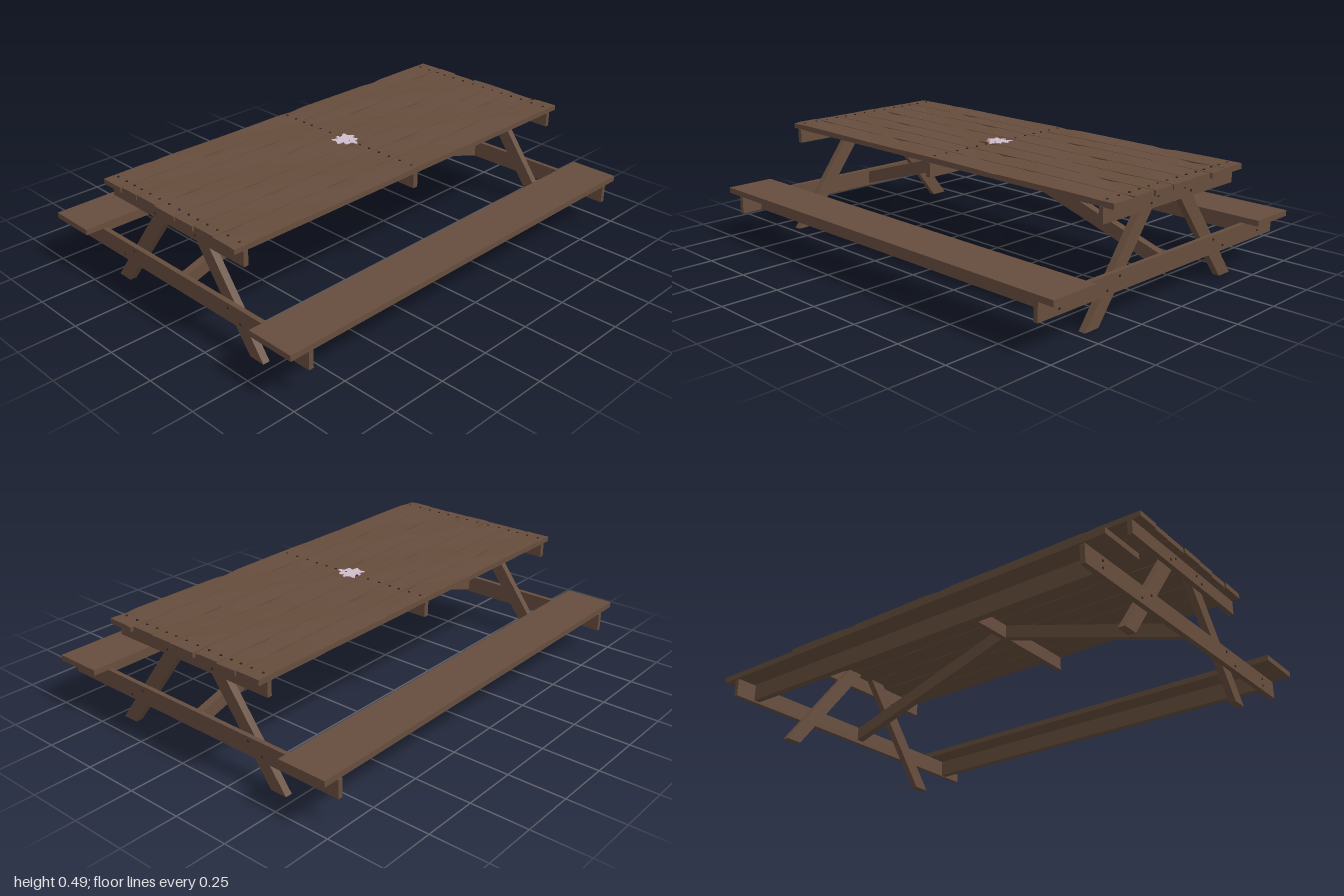
import * as THREE from 'three';

export function createModel() {
  const model = new THREE.Group();
  const mat = (name, color) => {
    const m = new THREE.MeshStandardMaterial({ color });
    m.name = name;
    return m;
  };
  const wood = mat('brown wood', 0x664d3d);
  const iron = mat('dark iron', 0x2c241f);
  const lilac = mat('pale lilac', 0xd0bccb);

  const add = (name, geometry, material = wood) => {
    const mesh = new THREE.Mesh(geometry, material);
    mesh.name = name;
    model.add(mesh);
    return mesh;
  };
  // Box given by its limits on each axis
  const board = (name, [x0, x1], [y0, y1], [z0, z1], segments = [1, 1, 1]) => {
    const g = new THREE.BoxGeometry(x1 - x0, y1 - y0, z1 - z0, ...segments);
    const mesh = add(name, g);
    mesh.position.set((x0 + x1) / 2, (y0 + y1) / 2, (z0 + z1) / 2);
    return mesh;
  };
  // Flat outline extruded to a thickness
  const extrude = (points, depth) => new THREE.ExtrudeGeometry(
    new THREE.Shape(points.map(([x, y]) => new THREE.Vector2(x, y))),
    { depth, bevelEnabled: false });

  // Table top: seven slightly worn planks with uneven edges
  const seams = [-0.412, -0.295, -0.197, -0.073, 0.052, 0.161, 0.277, 0.406];
  for (let i = 0; i < 7; i++) {
    const back = -0.971 - 0.005 * Math.sin(i * 2.3);
    const front = 0.951 + 0.004 * Math.cos(i * 1.9);
    const plank = board('tableTopPlank', [seams[i] + 0.002, seams[i + 1] - 0.002],
      [0.466, 0.49], [back, front], [4, 1, 48]);
    const p = plank.geometry.attributes.position;
    const half = (seams[i + 1] - seams[i]) / 2 - 0.002;
    for (let k = 0; k < p.count; k++) {
      const x = p.getX(k), y = p.getY(k), z = p.getZ(k);
      const edge = Math.abs(x) / half;
      const side = Math.sign(x);
      const chip = Math.max(0, Math.sin(z * 7 + i * 2.1 + side) * Math.sin(z * 17 + i * 3.7 + side) - 0.55);
      if (edge > 0.9) p.setX(k, x - side * chip * 0.008);
      if (y > 0) p.setY(k, y - 0.001 * (1 + Math.sin(z * 8 + x * 14 + i * 1.7)) - (edge > 0.9 ? chip * 0.008 : 0));
    }
    plank.geometry.computeVertexNormals();
  }

  // Benches with a lengthwise rail below each seat
  for (const s of [-1, 1]) {
    const bench = board('benchSeat', [0.52, 0.74], [0.205, 0.23], [-1, 1]);
    bench.position.x *= s;
    const rail = board('benchRail', [0.615, 0.645], [0.13, 0.206], [-0.91, 0.895]);
    rail.position.x *= s;
  }

  // End frames: cross beams outside, splayed legs inside
  const ends = [
    { beam: [0.894, 0.916], leg: 0.863, face: 0.916, dir: 1 },
    { beam: [-0.929, -0.909], leg: -0.909, face: -0.929, dir: -1 },
  ];
  for (const e of ends) {
    board('topCrossBeam', [-0.41, 0.406], [0.403, 0.467], e.beam);
    const low = board('benchCrossBeam', [-0.74, 0.74], [0.124, 0.203], e.beam);
    low.rotation.z = 0.004;
    for (const s of [-1, 1]) {
      const outline = [[0.39, 0], [0.465, 0], [0.115, 0.466], [0.036, 0.466]];
      add('leg', extrude(outline.map(([x, y]) => [s * x, y]), 0.031)).position.z = e.leg;
    }
  }

  // Middle beam and the two sloping braces that meet under it
  board('middleCrossBeam', [-0.41, 0.406], [0.403, 0.467], [-0.012, 0.012]);
  for (const s of [-1, 1]) {
    const outline = [[0.01, 0.466], [0.01, 0.404], [0.896, 0.132], [0.896, 0.192]];
    const g = extrude(outline.map(([z, y]) => [s * z, y]), 0.034);
    g.rotateY(-Math.PI / 2);
    add('brace', g).position.x = 0.015;
  }

  // Nail heads on the planks and bolts on the end beams
  const head = new THREE.CylinderGeometry(0.005, 0.005, 0.005, 8);
  for (let i = 0; i < 7; i++) {
    const width = seams[i + 1] - seams[i];
    for (const t of [0.25, 0.75]) {
      for (const z of [-0.92, -0.008, 0.905]) {
        add('nailHead', head, iron).position.set(seams[i] + width * t, 0.4895, z);
      }
    }
  }
  for (const e of ends) {
    for (const s of [-1, 1]) {
      for (const [x, y] of [[0.3, 0.185], [0.37, 0.145], [0.63, 0.15], [0.63, 0.18], [0.085, 0.445], [0.125, 0.425]]) {
        const bolt = add('boltHead', head, iron);
        bolt.rotation.x = Math.PI / 2;
        bolt.position.set(s * x, y, e.face);
      }
    }
  }

  // Splash-shaped patch in the middle of the table
  const splash = [];
  for (let i = 0; i < 72; i++) {
    const a = (i / 72) * Math.PI * 2;
    const r = 0.048 + 0.009 * Math.sin(8 * a + 0.6) + 0.005 * Math.sin(3 * a + 1) + 0.003 * Math.sin(13 * a);
    splash.push([r * Math.cos(a), r * Math.sin(a)]);
  }
  const patch = extrude(splash, 0.004);
  patch.rotateX(-Math.PI / 2);
  add('centrePatch', patch, lilac).position.set(-0.002, 0.488, -0.002);

  return model;
}
